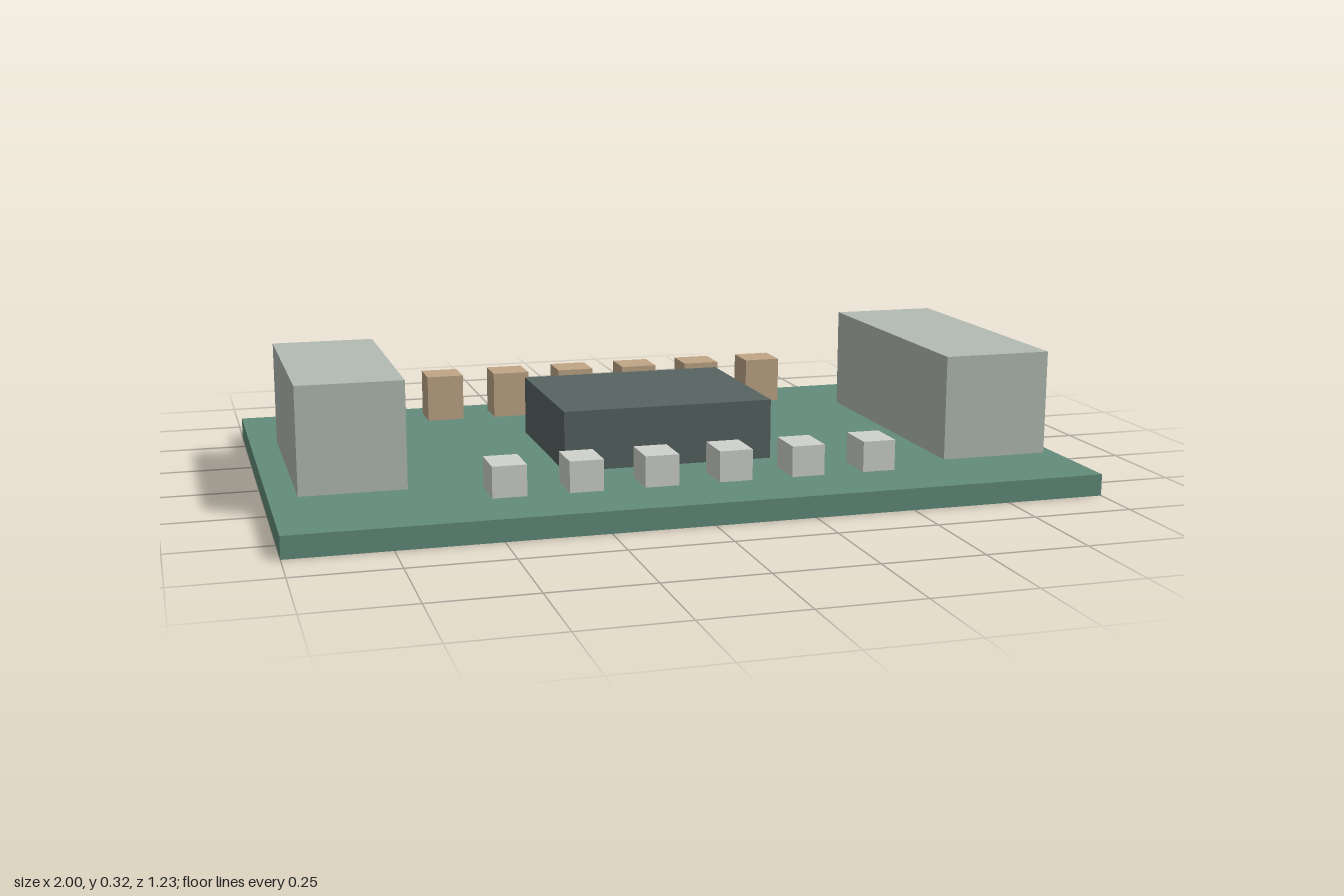
import * as THREE from 'three';

const material = (color) => new THREE.MeshStandardMaterial({ color });

// Box given by its centre in x and z, its size, and its bottom and top heights
function block(name, mat, x, z, width, depth, bottom, top) {
  const mesh = new THREE.Mesh(new THREE.BoxGeometry(width, top - bottom, depth), mat);
  mesh.name = name;
  mesh.position.set(x, (bottom + top) / 2, z);
  return mesh;
}

export function createModel() {
  const model = new THREE.Group();
  model.name = 'circuitBoard';

  const boardTop = 0.054;
  const metal = material(0xb4bbb4);
  const tan = material(0xc0a686);
  const pale = material(0xd0d2cc);

  // Base board and central chip
  model.add(block('board', material(0x628c7a), 0, 0, 2, 1.23, 0, boardTop));
  model.add(block('chip', material(0x566462), 0, 0, 0.54, 0.456, boardTop, 0.206));

  // Connectors at the two ends
  model.add(block('smallConnector', metal, -0.8, 0, 0.26, 0.584, boardTop, 0.32));
  model.add(block('largeConnector', metal, 0.83, 0, 0.28, 0.736, boardTop, 0.32));

  // Rows of capacitors (back) and resistors (front), raised just off the board
  const capacitors = new THREE.Group();
  capacitors.name = 'capacitors';
  const resistors = new THREE.Group();
  resistors.name = 'resistors';
  for (let i = 0; i < 6; i++) {
    const x = (i - 2.5) * 0.1845;
    capacitors.add(block('capacitor', tan, x, -0.43, 0.098, 0.1, 0.068, 0.19));
    resistors.add(block('resistor', pale, x, 0.43, 0.083, 0.108, 0.068, 0.144));
  }
  model.add(capacitors, resistors);

  return model;
}
